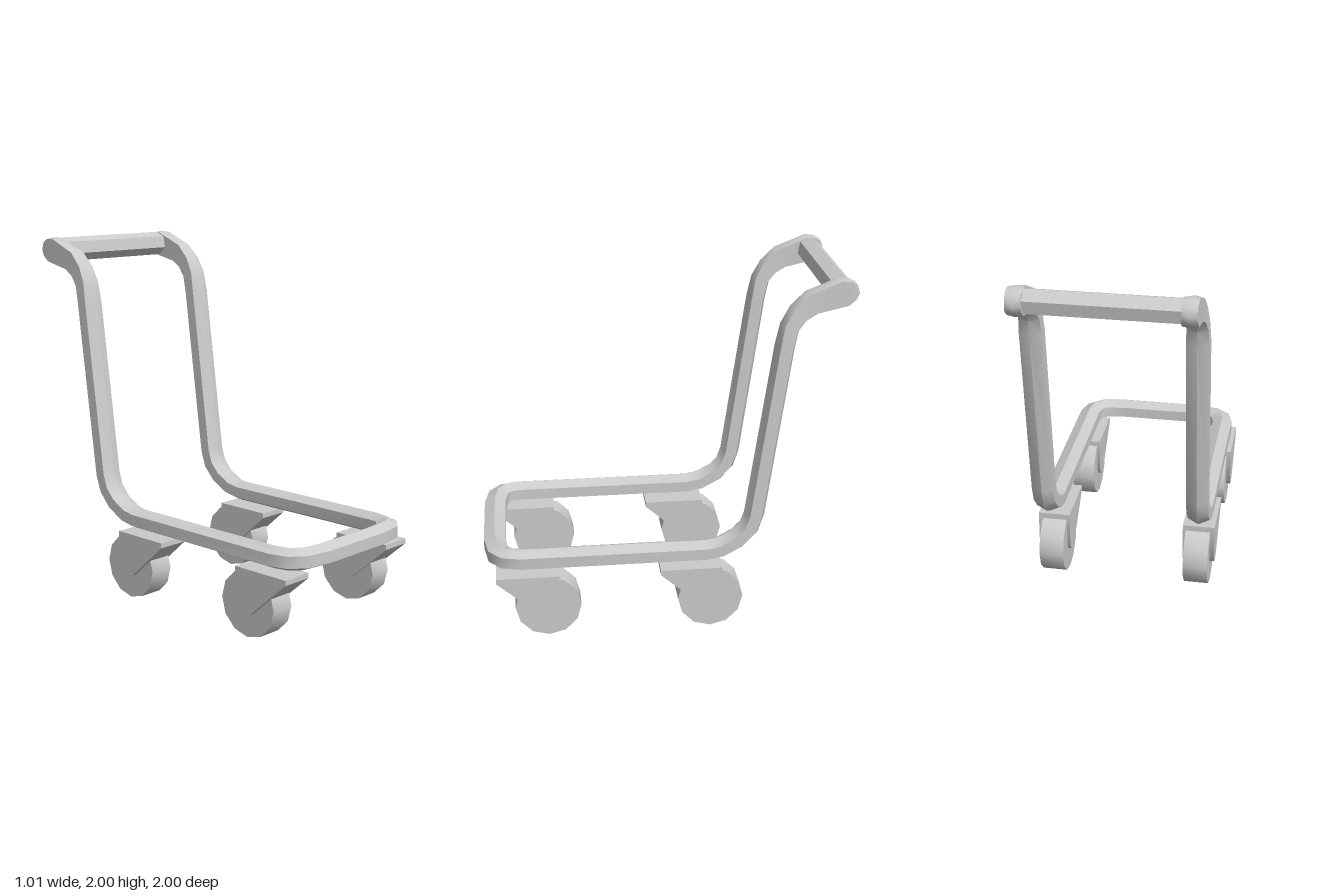
import * as THREE from 'three';
import { toCreasedNormals } from 'three/addons/utils/BufferGeometryUtils.js';

const material = new THREE.MeshStandardMaterial({ color: 0xcccccc });

function part(name, geometry) {
  const mesh = new THREE.Mesh(toCreasedNormals(geometry, 0.75), material);
  mesh.name = name;
  return mesh;
}

// Cylinder lying along x
function axle(radius, width, sides, start = 0) {
  return new THREE.CylinderGeometry(radius, radius, width, sides, 1, false, start).rotateZ(Math.PI / 2);
}

// Left half of the tube path, from the front bar to the handle end:
// x, y, z, half width, half height of the flat side, half height
const HALF = [
  [0.22, 0.455, 0.935, 0.06, 0.032, 0.06],
  [0.35, 0.455, 0.915, 0.06, 0.032, 0.06],
  [0.405, 0.455, 0.87, 0.06, 0.032, 0.06],
  [0.425, 0.455, 0.79, 0.06, 0.032, 0.06],
  [0.425, 0.455, -0.23, 0.06, 0.032, 0.06],
  [0.425, 0.47, -0.31, 0.06, 0.032, 0.06],
  [0.425, 0.52, -0.402, 0.06, 0.032, 0.06],
  [0.425, 0.588, -0.465, 0.06, 0.032, 0.06],
  [0.425, 0.67, -0.493, 0.06, 0.032, 0.058],
  [0.425, 1.64, -0.625, 0.06, 0.032, 0.055],
  [0.424, 1.745, -0.647, 0.054, 0.036, 0.055],
  [0.423, 1.815, -0.69, 0.048, 0.044, 0.06],
  [0.422, 1.87, -0.757, 0.043, 0.055, 0.067],
  [0.421, 1.923, -0.925, 0.041, 0.069, 0.077],
  [0.421, 1.937, -0.968, 0.041, 0.05, 0.058],
  [0.421, 1.945, -0.992, 0.038, 0.022, 0.027],
];

// Hexagonal tube swept through the sections, mirrored across x
function frameGeometry() {
  const up = new THREE.Vector3(0, 1, 0);
  const points = HALF.map(([x, y, z]) => new THREE.Vector3(x, y, z));
  const half = HALF.map(([, , , w, s, t], k) => {
    const before = k ? points[k - 1].clone().sub(points[k]).normalize() : new THREE.Vector3(-1, 0, 0);
    const after = k < points.length - 1
      ? points[k + 1].clone().sub(points[k]).normalize()
      : before.clone().negate();
    const tangent = after.sub(before).normalize();
    const side = k < 4 ? tangent.clone().cross(up).normalize() : new THREE.Vector3(1, 0, 0);
    const normal = side.clone().cross(tangent).normalize();
    return [[0, -t], [w, -s], [w, s], [0, t], [-w, s], [-w, -s]].map(([a, b]) =>
      points[k].clone().addScaledVector(side, a).addScaledVector(normal, b));
  });
  const mirrored = half.map((ring) => ring.map((p) => new THREE.Vector3(-p.x, p.y, p.z))).reverse();
  const rings = [...mirrored, ...half];

  const index = [];
  const last = (rings.length - 1) * 6;
  for (let k = 0; k < rings.length - 1; k++) {
    for (let i = 0; i < 6; i++) {
      const a = k * 6 + i, b = k * 6 + (i + 1) % 6;
      index.push(a, a + 6, b + 6, a, b + 6, b);
    }
  }
  for (let i = 1; i < 5; i++) {
    index.push(0, i, i + 1, last, last + i + 1, last + i);
  }
  const geometry = new THREE.BufferGeometry().setFromPoints(rings.flat());
  geometry.setIndex(index);
  return geometry;
}

// Wedge-shaped bracket profile as z, y around the wheel axle at z = 0
const BRACKET = [
  [0.28, 0.38], [0.28, 0.352], [0.04, 0.138], [0.005, 0.13],
  [-0.035, 0.14], [-0.065, 0.18], [-0.065, 0.38],
];

function createCaster(name, sign, z) {
  const caster = new THREE.Group();
  caster.name = name;
  const shape = new THREE.Shape(BRACKET.map(([pz, y]) => new THREE.Vector2(-pz, y)));
  const width = 0.18;
  const bracket = part('bracket', new THREE.ExtrudeGeometry(shape, { depth: width, bevelEnabled: false })
    .translate(0, 0, -width / 2).rotateY(Math.PI / 2));
  bracket.position.x = sign * 0.415;
  const wheel = part('wheel', axle(0.182, 0.138, 12));
  wheel.position.set(sign * 0.411, 0.183, 0);
  caster.add(bracket, wheel);
  caster.position.z = z;
  return caster;
}

export function createModel() {
  const group = new THREE.Group();
  group.name = 'cart';

  group.add(part('tubeFrame', frameGeometry()));

  // Hexagonal push bar between the two handle ends
  const bar = part('handleBar', axle(0.069, 0.78, 6, THREE.MathUtils.degToRad(101)));
  bar.position.set(0, 1.923, -0.917);
  group.add(bar);

  // Four casters
  for (const [side, sign] of [['Left', 1], ['Right', -1]]) {
    group.add(createCaster('front' + side + 'Caster', sign, 0.652));
    group.add(createCaster('rear' + side + 'Caster', sign, -0.25));
  }
  return group;
}
